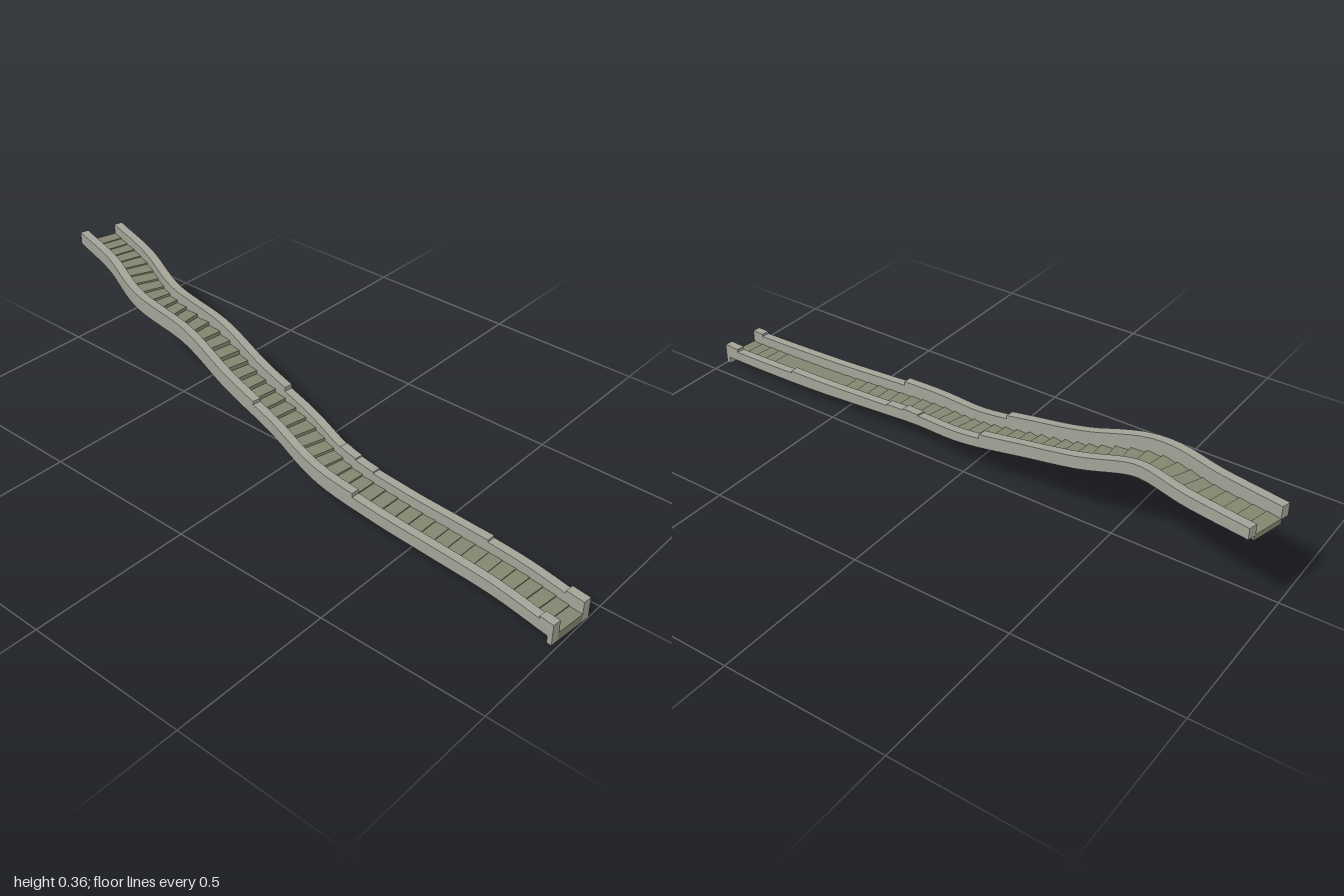
import * as THREE from 'three';

// Centre line of the stairway at tread level, from front to back, evenly spaced in z
const path = new THREE.CatmullRomCurve3([
  [-0.129, 0.025, 0.993], [-0.111, 0.041, 0.8], [-0.105, 0.051, 0.6], [-0.103, 0.065, 0.4],
  [-0.092, 0.086, 0.2], [-0.045, 0.125, 0], [-0.02, 0.174, -0.2], [0.012, 0.234, -0.4],
  [0.009, 0.284, -0.6], [0.082, 0.311, -0.8], [0.13, 0.327, -0.99],
].map((p) => new THREE.Vector3(...p)));

const INNER = 0.047, OUTER = 0.074, STEPS = 46;

function frameAt(z) {
  const t = THREE.MathUtils.clamp((1 - z) / 2, 0, 1);
  const point = path.getPoint(t);
  const tangent = path.getTangent(t).setY(0).normalize();
  return { point, side: new THREE.Vector3(-tangent.z, 0, tangent.x) };
}

// Bar that follows the path from z0 back to z1; range(k) gives [bottom, top],
// where k runs 0..1 from front to back, measured above baseY or the path
function bar(x0, x1, z0, z1, segments, range, baseY) {
  const geometry = new THREE.BoxGeometry(1, 1, 1, 1, 1, segments);
  const pos = geometry.attributes.position;
  for (let i = 0; i < pos.count; i++) {
    const k = 0.5 - pos.getZ(i);
    const { point, side } = frameAt(z0 + (z1 - z0) * k);
    const across = x0 + (x1 - x0) * (pos.getX(i) + 0.5);
    const [bottom, top] = range(k);
    const y = (baseY ?? point.y) + (pos.getY(i) > 0 ? top : bottom);
    pos.setXYZ(i, point.x + side.x * across, y, point.z + side.z * across);
  }
  geometry.computeVertexNormals();
  return geometry;
}

export function createModel() {
  const group = new THREE.Group();
  const wallStone = new THREE.MeshStandardMaterial({ color: 0xa3a398 });
  wallStone.name = 'wall stone';
  const stepStone = new THREE.MeshStandardMaterial({ color: 0x83866f });
  stepStone.name = 'step stone';
  const add = (name, geometry, material) => {
    const mesh = new THREE.Mesh(geometry, material);
    mesh.name = name;
    group.add(mesh);
  };

  // Flat treads, each a slab square to the path
  const length = 2 / STEPS;
  for (let i = 0; i < STEPS; i++) {
    const z = 1 - i * length;
    const y = frameAt(z - length / 2).point.y;
    add('step', bar(-INNER - 0.003, INNER + 0.003, z, z - length, 1, () => [-0.016, 0], y), stepStone);
  }
  add('frontRiser', bar(-INNER, INNER, 1, 0.985, 1, () => [0, 0.025], 0), stepStone);

  // Wall runs: [front z, back z, heights above the treads from front to back]
  const walls = {
    rightWall: [
      [1, 0.955, [0.041, 0.039]],
      [0.955, 0.33, [0.031, 0.034, 0.033]],
      [0.33, -0.09, [0.046, 0.041, 0.036, 0.034]],
      [-0.09, -1, [0.045, 0.044, 0.045, 0.041, 0.035]],
    ],
    leftWall: [
      [1, 0.94, [0.041, 0.038]],
      [0.94, 0.69, [0.028, 0.03]],
      [0.69, 0.3, [0.037, 0.033, 0.029]],
      [0.3, 0.23, [0.034, 0.032]],
      [0.23, 0.16, [0.037, 0.033]],
      [0.16, -0.09, [0.029, 0.027]],
      [-0.09, -1, [0.04, 0.036, 0.035, 0.032, 0.03]],
    ],
  };
  for (const [name, runs] of Object.entries(walls)) {
    const [x0, x1] = name === 'leftWall' ? [INNER, OUTER] : [-OUTER, -INNER];
    for (const [z0, z1, heights] of runs) {
      const topAt = (k) => {
        const s = k * (heights.length - 1);
        const i = Math.min(Math.floor(s), heights.length - 2);
        return THREE.MathUtils.lerp(heights[i], heights[i + 1], s - i);
      };
      const segments = Math.max(1, Math.round((z0 - z1) / 0.03));
      add(name, bar(x0, x1, z0, z1, segments, (k) => [-0.004, topAt(k)]), wallStone);
    }
    // Foot of the front post down to the ground
    add(name + 'Foot', bar(x0, x1, 1, 0.985, 1, () => [0, 0.025], 0), wallStone);
  }
  return group;
}
